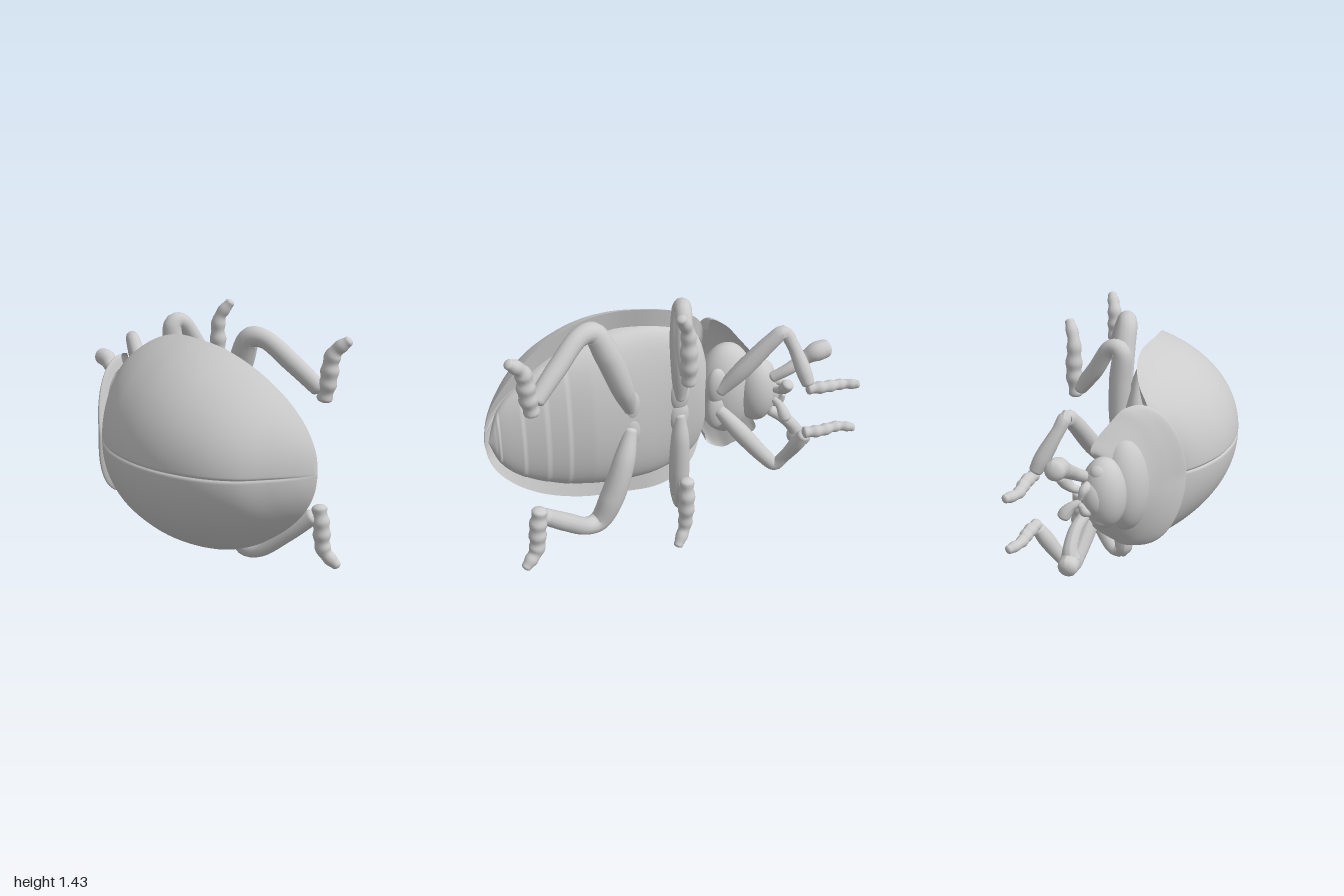
import * as THREE from 'three';

const material = new THREE.MeshStandardMaterial({ color: 0xcccccc, side: THREE.DoubleSide, roughness: 0.7 });

// Smooth interpolation through table rows; returns u (0..1) -> array
function spline(rows) {
  const n = rows.length - 1;
  return (u) => {
    const i = Math.min(n - 1, Math.floor(u * n)), t = u * n - i;
    const [a, b, c, d] = [-1, 0, 1, 2].map((k) => rows[Math.min(n, Math.max(0, i + k))]);
    return b.map((_, k) => b[k] + 0.5 * t * (c[k] - a[k]
      + t * (2 * a[k] - 5 * b[k] + 4 * c[k] - d[k] + t * (3 * (b[k] - c[k]) + d[k] - a[k]))));
  };
}

// Grid surface from a function (u, t) -> [x, y, z]
function surface(name, nu, nt, f) {
  const pos = [], idx = [];
  for (let i = 0; i <= nu; i++) for (let j = 0; j <= nt; j++) pos.push(...f(i / nu, j / nt));
  for (let i = 0; i < nu; i++) for (let j = 0; j < nt; j++) {
    const a = i * (nt + 1) + j, b = a + nt + 1;
    idx.push(a, b, a + 1, b, b + 1, a + 1);
  }
  const g = new THREE.BufferGeometry();
  g.setAttribute('position', new THREE.Float32BufferAttribute(pos, 3));
  g.setIndex(idx);
  g.computeVertexNormals();
  const m = new THREE.Mesh(g, material);
  m.name = name;
  return m;
}

// Limb with varying radius and rounded ends; points are [x, y, z, radius]
function limb(name, points, side, rings = 0) {
  const curve = new THREE.CatmullRomCurve3(points.map((p) => new THREE.Vector3(p[0], p[1] * side, p[2])));
  const n = 20 + points.length * 10, len = curve.getLength();
  const radius = spline(points.map((p) => [p[3]]));
  const up = new THREE.Vector3(0.31, 0.2, 0.93);
  return surface(name, n, 14, (i, t) => {
    const u = 0.5 - 0.5 * Math.cos(Math.PI * i);
    const k = curve.getUtoTmapping(u);
    const c = curve.getPoint(k), tan = curve.getTangent(k);
    const e1 = new THREE.Vector3().crossVectors(tan, up).normalize();
    const e2 = new THREE.Vector3().crossVectors(tan, e1);
    let r = radius(k)[0];
    const d = Math.min(u, 1 - u) * len, cap = r * 0.6;
    if (d < cap) r *= Math.sqrt(Math.max(0, 1 - (1 - d / cap) ** 2));
    if (rings) r *= 1 + 0.08 * Math.sin(u * rings * Math.PI * 2);
    const a = t * Math.PI * 2;
    c.addScaledVector(e1, r * Math.cos(a)).addScaledVector(e2, r * Math.sin(a));
    return [c.x, c.y, c.z];
  });
}

function ellipsoid(name, centre, radii) {
  const m = new THREE.Mesh(new THREE.SphereGeometry(1, 32, 20), material);
  m.name = name;
  m.position.set(...centre);
  m.scale.set(...radii);
  return m;
}

// Wing cases: x, half width, crest z, rim z
const wing = spline([
  [-0.26, 0.25, 0.14, 0.08], [-0.25, 0.37, 0.22, 0.07], [-0.2, 0.46, 0.29, 0.01],
  [-0.1, 0.53, 0.36, -0.03], [0.05, 0.57, 0.425, -0.04], [0.25, 0.577, 0.457, -0.015],
  [0.45, 0.55, 0.44, -0.025], [0.65, 0.47, 0.37, -0.055], [0.8, 0.365, 0.26, -0.09],
  [0.9, 0.265, 0.11, -0.11], [0.96, 0.175, -0.005, -0.12], [0.99, 0.09, -0.085, -0.128], [1, 0, -0.13, -0.13],
]);
const wingX = (x, u, s) => x - 0.055 * s * Math.max(0, 1 - u * 3) ** 2;
const wingArc = 1.15;

// Thorax shield: crest x, crest z, rim x, rim z, half width
const shield = spline([
  [-0.53, -0.05, -0.52, -0.13, 0.16], [-0.55, -0.02, -0.53, -0.165, 0.21], [-0.51, 0.045, -0.49, -0.14, 0.27],
  [-0.42, 0.13, -0.43, -0.08, 0.345], [-0.34, 0.205, -0.385, -0.03, 0.395],
  [-0.25, 0.275, -0.33, 0.05, 0.405], [-0.245, 0.22, -0.31, 0.05, 0.34],
]);

// Belly: x, half width, edge z, lowest z
const belly = spline([
  [-0.3, 0, 0.02, 0.02], [-0.27, 0.25, 0.06, -0.06], [-0.2, 0.38, 0.03, -0.1], [0, 0.46, 0, -0.135],
  [0.2, 0.475, 0, -0.17], [0.4, 0.45, -0.01, -0.185], [0.6, 0.39, -0.04, -0.185],
  [0.8, 0.28, -0.08, -0.175], [0.92, 0.16, -0.1, -0.16], [0.98, 0, -0.13, -0.13],
]);

// Legs: thigh and shin in one limb, then a ringed foot
const legs = {
  front: {
    leg: [[-0.3, 0.05, -0.14, 0.035], [-0.42, 0.2, -0.19, 0.05], [-0.56, 0.37, -0.235, 0.044], [-0.62, 0.425, -0.255, 0.038],
      [-0.66, 0.36, -0.29, 0.034], [-0.7, 0.23, -0.36, 0.042], [-0.72, 0.15, -0.4, 0.034]],
    foot: [[-0.7, 0.14, -0.4, 0.03], [-0.8, 0.14, -0.415, 0.033], [-0.92, 0.135, -0.415, 0.028], [-1, 0.14, -0.455, 0.024]],
  },
  middle: {
    leg: [[-0.08, 0.04, -0.13, 0.03], [-0.08, 0.2, -0.14, 0.052], [-0.08, 0.42, -0.13, 0.06], [-0.085, 0.6, -0.125, 0.05],
      [-0.075, 0.61, -0.175, 0.044], [-0.045, 0.46, -0.28, 0.046], [-0.025, 0.33, -0.385, 0.04]],
    foot: [[-0.025, 0.29, -0.395, 0.036], [-0.02, 0.44, -0.405, 0.045], [-0.01, 0.61, -0.405, 0.036], [0.045, 0.71, -0.445, 0.028]],
  },
  hind: {
    leg: [[0.21, 0.05, -0.16, 0.035], [0.27, 0.22, -0.21, 0.06], [0.35, 0.44, -0.225, 0.068], [0.425, 0.585, -0.22, 0.058],
      [0.5, 0.585, -0.245, 0.05], [0.64, 0.47, -0.315, 0.05], [0.78, 0.34, -0.385, 0.044]],
    foot: [[0.79, 0.28, -0.395, 0.038], [0.81, 0.4, -0.4, 0.046], [0.83, 0.54, -0.41, 0.04], [0.905, 0.62, -0.445, 0.028]],
  },
};

export function createModel() {
  const group = new THREE.Group();
  group.name = 'beetle';
  group.position.y = 0.72;

  // Belly with stepped segments towards the tail
  group.add(surface('abdomen', 140, 40, (u, t) => {
    const [x, w, edge, low] = belly(u);
    const a = (t - 0.5) * Math.PI, c = Math.cos(a) ** 0.75;
    const k = (x - 0.42) / 0.125;
    const step = k > 0 && x < 0.94 ? 0.014 * (k - Math.floor(k)) : 0;
    return [x, w * Math.sin(a), edge + (low + step - edge) * c];
  }));

  // Thorax shield with a shallow V at the back, and the body beneath it
  group.add(surface('thoraxShield', 60, 48, (u, t) => {
    const [xc, zc, xr, zr, w] = shield(u);
    const a = (t - 0.5) * Math.PI, s = Math.sin(a);
    return [xr + (xc - xr) * (1 - Math.abs(s) ** 1.25), w * s, zr + (zc - zr) * Math.cos(a)];
  }));
  group.add(ellipsoid('thoraxUnderside', [-0.4, 0, -0.02], [0.17, 0.28, 0.14]));

  // Head
  group.add(ellipsoid('head', [-0.555, 0, -0.09], [0.12, 0.195, 0.12]));
  group.add(ellipsoid('snout', [-0.61, 0, -0.12], [0.075, 0.11, 0.075]));

  for (const s of [1, -1]) {
    const side = s > 0 ? 'upper' : 'lower';

    // Domed wing case with a fine seam groove, and its inturned rim
    group.add(surface(side + 'WingCase', 90, 36, (u, t) => {
      const [x, w, top, rim] = wing(u);
      const a = t ** 1.6 * wingArc, across = Math.sin(a) / Math.sin(wingArc), v = w * across;
      const rise = (Math.cos(a) - Math.cos(wingArc)) / (1 - Math.cos(wingArc));
      const groove = Math.min(0.009, (top - rim) * 0.05) * Math.exp(-((v / 0.006) ** 2));
      return [wingX(x, u, across), s * v, rim + (top - rim) * rise - groove];
    }));
    group.add(surface(side + 'WingCaseRim', 90, 4, (u, t) => {
      const [x, w, , rim] = wing(u);
      return [wingX(x, u, 1), s * w * (1 - 0.25 * t), rim + 0.02 * t];
    }));

    // Eyes, feelers and mouth parts
    group.add(ellipsoid(side + 'Eye', [-0.595, s * 0.125, -0.1], [0.05, 0.05, 0.055]));
    const tip = s > 0 ? [-0.89, 0.265, -0.23] : [-0.82, 0.3, -0.21];
    group.add(limb(side + 'Feeler', [[-0.6, 0.1, -0.17, 0.03], [-0.69, 0.16, -0.205, 0.034],
      [(tip[0] - 0.69) / 2, (tip[1] + 0.16) / 2 + 0.01, -0.215, 0.04], [tip[0] + 0.05, tip[1] - 0.01, tip[2], 0.054],
      [tip[0] - 0.035, tip[1] + 0.005, tip[2], 0.05]], s));
    group.add(limb(side + 'Palp', [[-0.62, 0.03, -0.17, 0.018], [-0.64, 0.05, -0.23, 0.024],
      [-0.65, 0.085, -0.265, 0.034], [-0.66, 0.125, -0.285, 0.034]], s));
    group.add(limb(side + 'Jaw', [[-0.62, 0.07, -0.14, 0.03], [-0.67, 0.06, -0.16, 0.026], [-0.685, 0.01, -0.18, 0.014]], s));

    // Legs with a swollen joint at the body
    for (const [key, { leg, foot }] of Object.entries(legs)) {
      group.add(limb(`${side} ${key} leg`, leg, s));
      group.add(limb(`${side} ${key} foot`, foot, s, 5));
      const [x, y, z] = leg[0];
      group.add(ellipsoid(`${side} ${key} hip`, [x, s * (y + 0.03), z + 0.02], [0.06, 0.11, 0.04]));
    }
  }
  return group;
}
